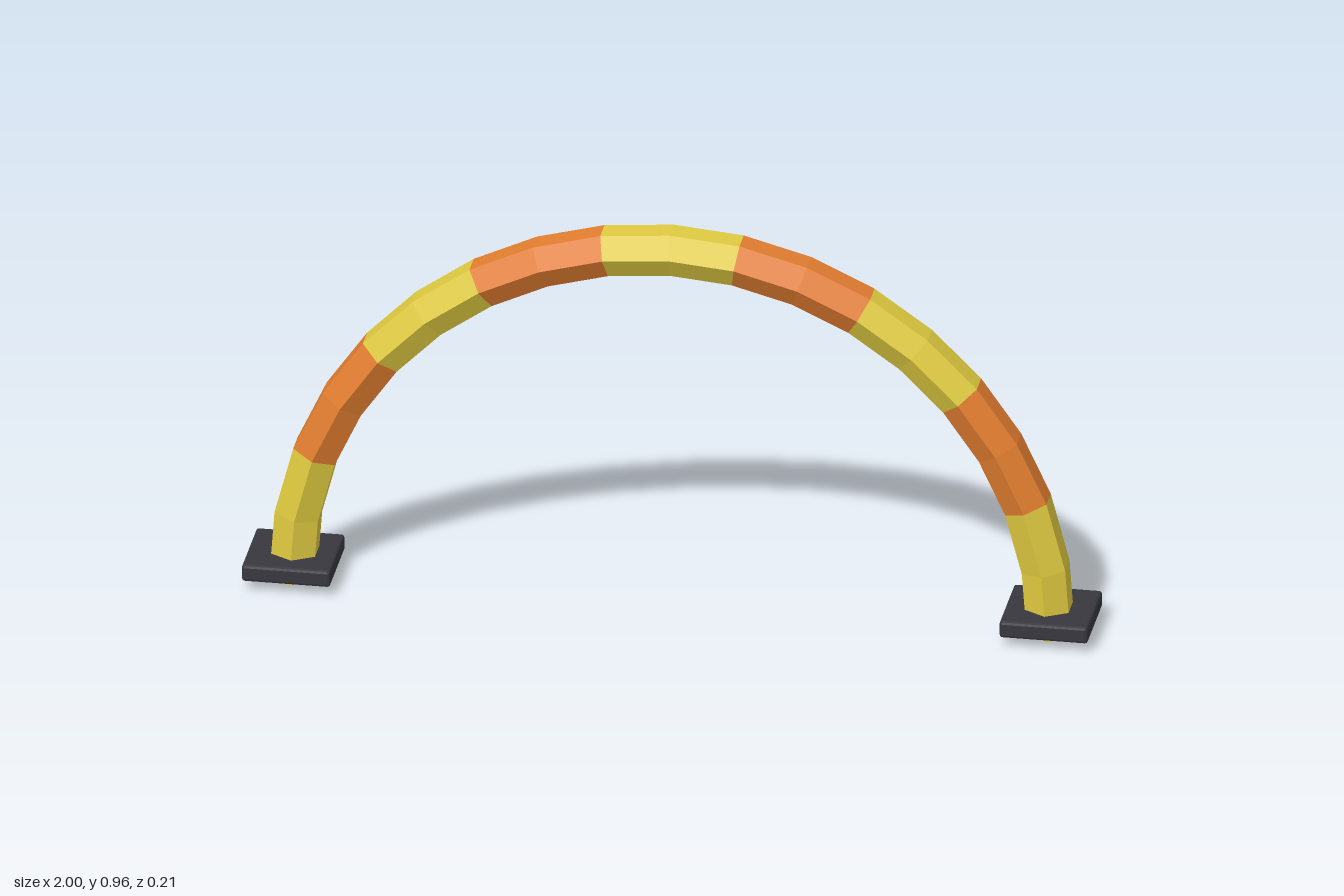
import * as THREE from 'three';
import { RoundedBoxGeometry } from 'three/addons/geometries/RoundedBoxGeometry.js';

const RADIUS = 0.8955;   // arch centre line
const TUBE = 0.06;       // hexagon radius
const BASE_Y = 0.0175;   // height of the arch centre
const FOOT = 0.0185;     // extra angle that pokes through the base plates
const SEGMENTS = 9;

// Circular arc in the xy plane
class ArcCurve extends THREE.Curve {
  constructor(start, end) {
    super();
    this.start = start;
    this.end = end;
  }
  getPoint(t, target = new THREE.Vector3()) {
    const a = this.start + (this.end - this.start) * t;
    return target.set(Math.cos(a) * RADIUS, BASE_Y + Math.sin(a) * RADIUS, 0);
  }
}

function makeMaterial(name, color) {
  const material = new THREE.MeshStandardMaterial({ color, flatShading: true });
  material.name = name;
  return material;
}

export function createModel() {
  const group = new THREE.Group();
  group.name = 'stripedArch';
  const yellow = makeMaterial('yellow', 0xe0cb40);
  const orange = makeMaterial('orange', 0xe37e30);
  const dark = makeMaterial('darkGrey', 0x38373f);

  const add = (name, geometry, material) => {
    const mesh = new THREE.Mesh(geometry, material);
    mesh.name = name;
    group.add(mesh);
    return mesh;
  };

  // Alternating hexagonal arch segments
  const step = Math.PI / SEGMENTS;
  for (let i = 0; i < SEGMENTS; i++) {
    const start = i * step - (i === 0 ? FOOT : 0);
    const end = (i + 1) * step + (i === SEGMENTS - 1 ? FOOT : 0);
    const tube = new THREE.TubeGeometry(new ArcCurve(start, end), 2, TUBE, 6, false);
    add(`archSegment${i + 1}`, tube, i % 2 ? orange : yellow);
  }

  // Foot caps and chamfered base plates
  for (const side of [1, -1]) {
    const label = side > 0 ? 'left' : 'right';
    const cap = new THREE.CircleGeometry(TUBE, 6, Math.PI / 2);
    cap.rotateX(Math.PI / 2);
    const capMesh = add(`${label}FootCap`, cap, yellow);
    capMesh.position.set(side * RADIUS * Math.cos(FOOT), BASE_Y - RADIUS * Math.sin(FOOT), 0);
    capMesh.rotation.z = -side * FOOT;

    const plate = add(`${label}BasePlate`, new RoundedBoxGeometry(0.209, 0.042, 0.209, 1, 0.007), dark);
    plate.position.set(side * RADIUS, 0.0445, 0);
  }
  return group;
}
